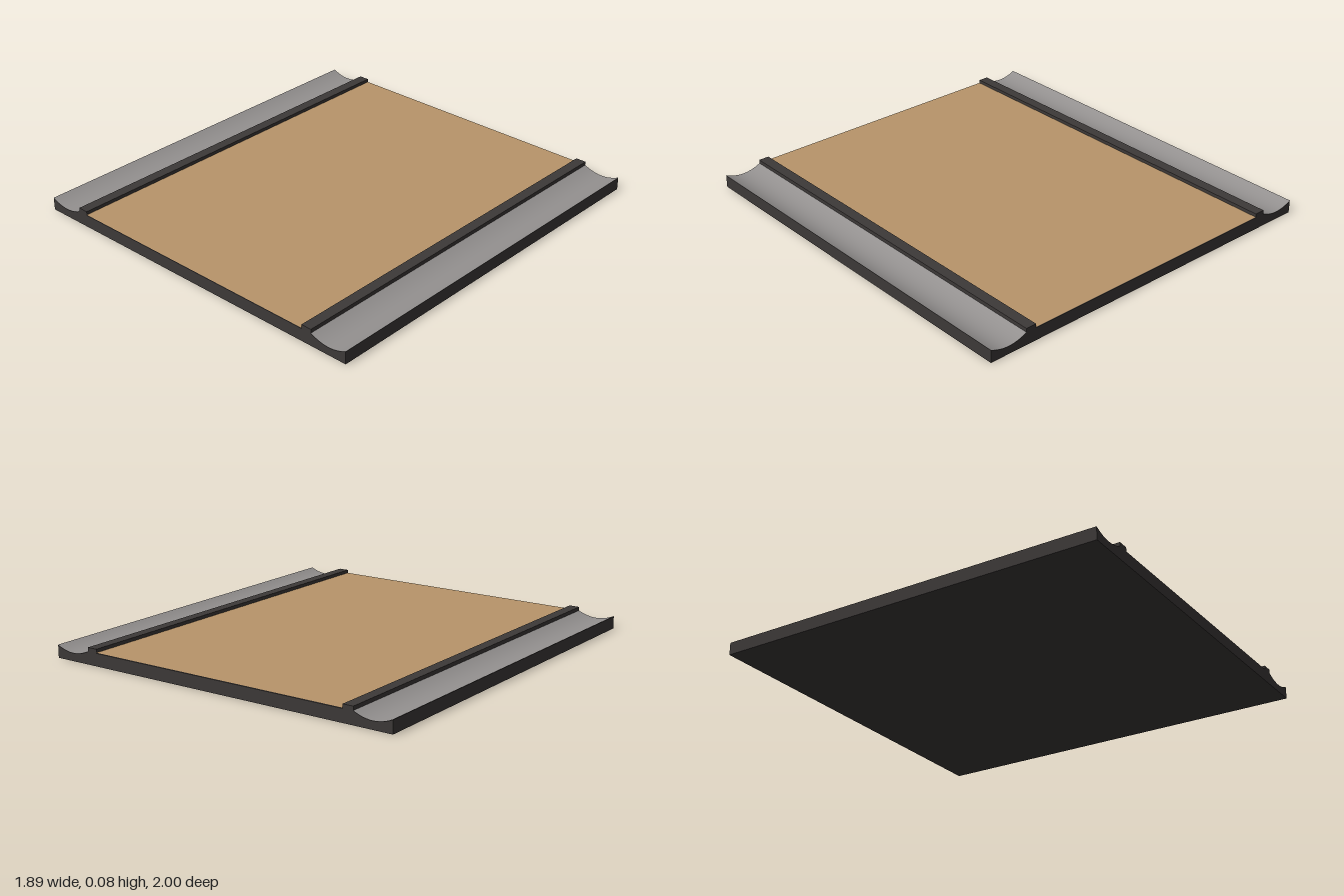
import * as THREE from 'three';

const LENGTH = 2, HALF = 0.947, RAIL_OUT = 0.752, RAIL_IN = 0.698;
const TOP = 0.064, RAIL_TOP = 0.083, DIP = 0.039, SEGS = 12;
const GUTTER_MID = (HALF + RAIL_OUT) / 2, GUTTER_HALF = (HALF - RAIL_OUT) / 2;

// Height of the shallow gutter trough at distance x from the centre line
const gutterY = (x) => {
  const t = (Math.abs(x) - GUTTER_MID) / GUTTER_HALF;
  return DIP + (TOP - 0.001 - DIP) * Math.min(1, t * t);
};

function material(name, color) {
  const m = new THREE.MeshStandardMaterial({ color });
  m.name = name;
  return m;
}

export function createModel() {
  const dark = material('charcoal', 0x3d3938);
  const wood = material('tan wood', 0xb8956a);
  const grey = material('gutter grey', 0x949190);
  const model = new THREE.Group();
  model.name = 'lane';

  const add = (name, geometry, mat) => {
    const mesh = new THREE.Mesh(geometry, mat);
    mesh.name = name;
    model.add(mesh);
    return mesh;
  };

  // Base: cross-section with a trough on each side, extruded along z
  const shape = new THREE.Shape();
  shape.moveTo(-HALF, 0);
  shape.lineTo(HALF, 0);
  for (const side of [1, -1]) {
    for (let i = 0; i <= SEGS; i++) {
      const f = i / SEGS;
      const x = side > 0
        ? HALF + (RAIL_OUT - HALF) * f
        : -(RAIL_OUT + (HALF - RAIL_OUT) * f);
      shape.lineTo(x, gutterY(x));
    }
  }
  const base = new THREE.ExtrudeGeometry(shape, { depth: LENGTH, bevelEnabled: false });
  base.translate(0, 0, -LENGTH / 2);
  add('base', base, dark);

  // Wooden surface between the rails
  const lane = new THREE.PlaneGeometry(RAIL_IN * 2, LENGTH).rotateX(-Math.PI / 2);
  add('laneSurface', lane.translate(0, TOP + 0.002, 0), wood);

  for (const [label, side] of [['left', 1], ['right', -1]]) {
    // Raised rail
    const rail = new THREE.BoxGeometry(RAIL_OUT - RAIL_IN, RAIL_TOP - 0.055, LENGTH);
    add(label + 'Rail', rail, dark)
      .position.set(side * (RAIL_OUT + RAIL_IN) / 2, (RAIL_TOP + 0.055) / 2, 0);

    // Curved gutter lining
    const lining = new THREE.PlaneGeometry(GUTTER_HALF * 2, LENGTH, SEGS, 1)
      .rotateX(-Math.PI / 2)
      .translate(side * GUTTER_MID, 0, 0);
    const p = lining.attributes.position;
    for (let i = 0; i < p.count; i++) p.setY(i, gutterY(p.getX(i)) + 0.0015);
    lining.computeVertexNormals();
    add(label + 'Gutter', lining, grey);
  }
  return model;
}
